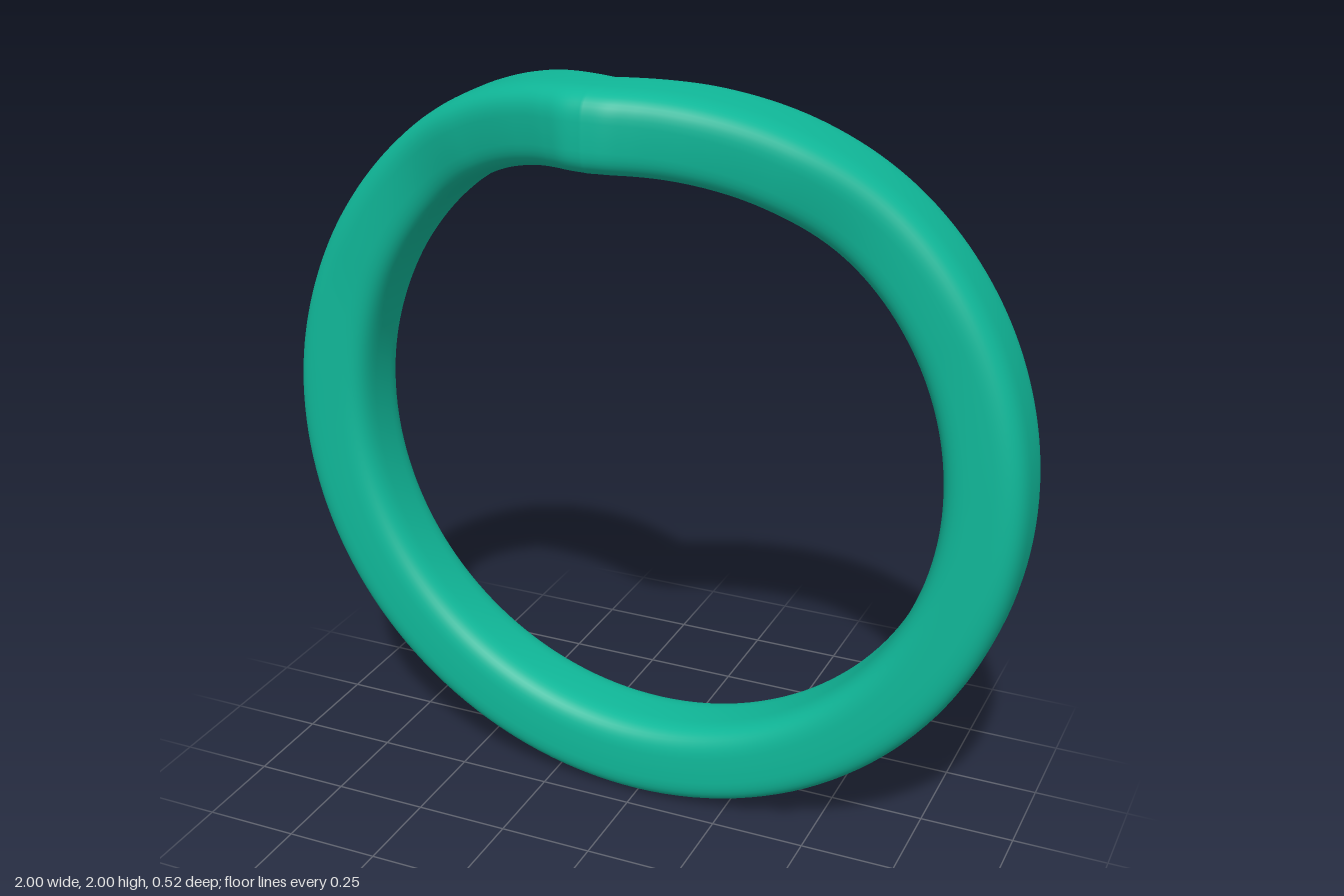
import * as THREE from 'three';

// Half of the band, from the top (angle 0) to the bottom (PI): angle, back z, front z
const edges = new THREE.CatmullRomCurve3([
  [0, 0.018, 0.258], [0.06, -0.01, 0.25], [0.12, -0.04, 0.226], [0.23, -0.095, 0.178],
  [0.46, -0.18, 0.087], [0.73, -0.235, 0.002], [1.09, -0.258, -0.025],
  [1.5, -0.26, -0.028], [2.0, -0.26, -0.028], [2.55, -0.26, -0.028], [Math.PI, -0.26, -0.028],
].map(p => new THREE.Vector3(...p)), false, 'catmullrom', 0.5);

const HALF = 140, SIDES = 48, POWER = 3.6;
const rounded = v => Math.sign(v) * Math.abs(v) ** (2 / POWER);

function bandGeometry() {
  const positions = [], index = [], rings = HALF * 2;
  for (let i = 0; i < rings; i++) {
    // The second half mirrors the first
    const mirrored = i > HALF;
    const p = edges.getPoint((mirrored ? rings - i : i) / HALF);
    const angle = mirrored ? -p.x : p.x;
    const inner = 0.79 + 0.01 * Math.cos(angle), outer = 1;
    for (let j = 0; j < SIDES; j++) {
      // Soft rectangular cross-section
      const a = j / SIDES * Math.PI * 2;
      const r = (outer + inner) / 2 + (outer - inner) / 2 * rounded(Math.cos(a));
      const z = (p.y + p.z) / 2 + (p.z - p.y) / 2 * rounded(Math.sin(a));
      positions.push(r * Math.sin(angle), 1 + r * Math.cos(angle), z);
      const k = (j + 1) % SIDES, here = i * SIDES, next = ((i + 1) % rings) * SIDES;
      index.push(here + j, here + k, next + j, here + k, next + k, next + j);
    }
  }
  const geometry = new THREE.BufferGeometry();
  geometry.setAttribute('position', new THREE.Float32BufferAttribute(positions, 3));
  geometry.setIndex(index);
  geometry.computeVertexNormals();
  return geometry;
}

export function createModel() {
  const group = new THREE.Group();
  group.name = 'ring';
  // Band with a forward pointed bend at the top
  const band = new THREE.Mesh(bandGeometry(), new THREE.MeshStandardMaterial({ color: 0x10b899 }));
  band.name = 'band';
  group.add(band);
  return group;
}
